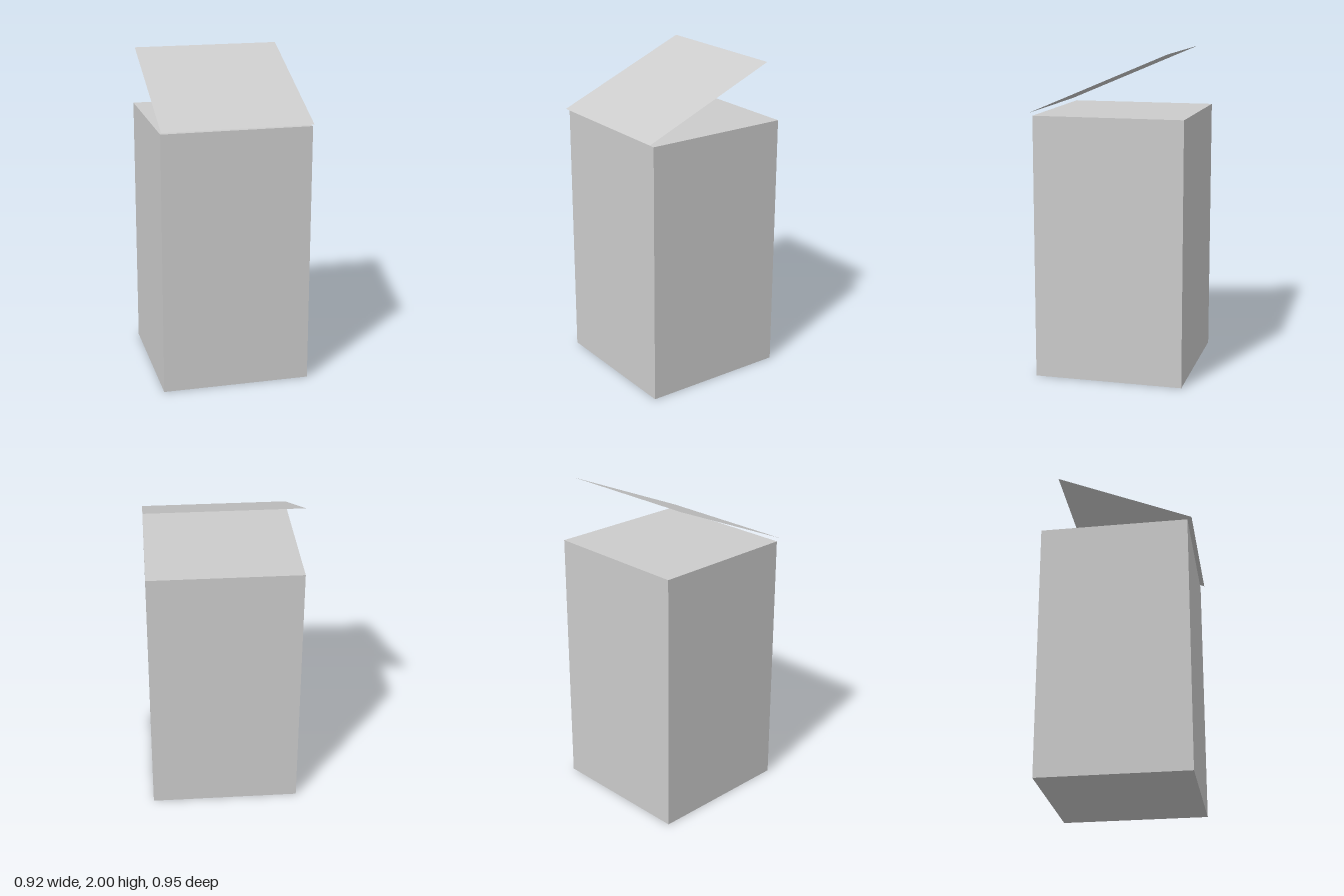
import * as THREE from 'three';

export function createModel() {
  const group = new THREE.Group();
  const width = 0.92, height = 1.625;
  const material = new THREE.MeshStandardMaterial({ color: 0xcccccc, flatShading: true });

  // Closed square bin body
  const body = new THREE.Mesh(new THREE.BoxGeometry(width, height, width), material);
  body.name = 'body';
  body.position.set(0, height / 2, -0.013);
  group.add(body);

  // Paper-thin lid, low at the front and rising toward the back
  const front = { y: 1.64, z: 0.473 }, back = { y: 2, z: -0.373 };
  const rise = back.y - front.y, run = front.z - back.z;
  const lidMaterial = material.clone();
  lidMaterial.side = THREE.DoubleSide;
  const lid = new THREE.Mesh(new THREE.PlaneGeometry(width, Math.hypot(rise, run)), lidMaterial);
  lid.name = 'lid';
  lid.rotation.x = -Math.atan2(run, rise);
  lid.position.set(0, (front.y + back.y) / 2, (front.z + back.z) / 2);
  group.add(lid);

  return group;
}
